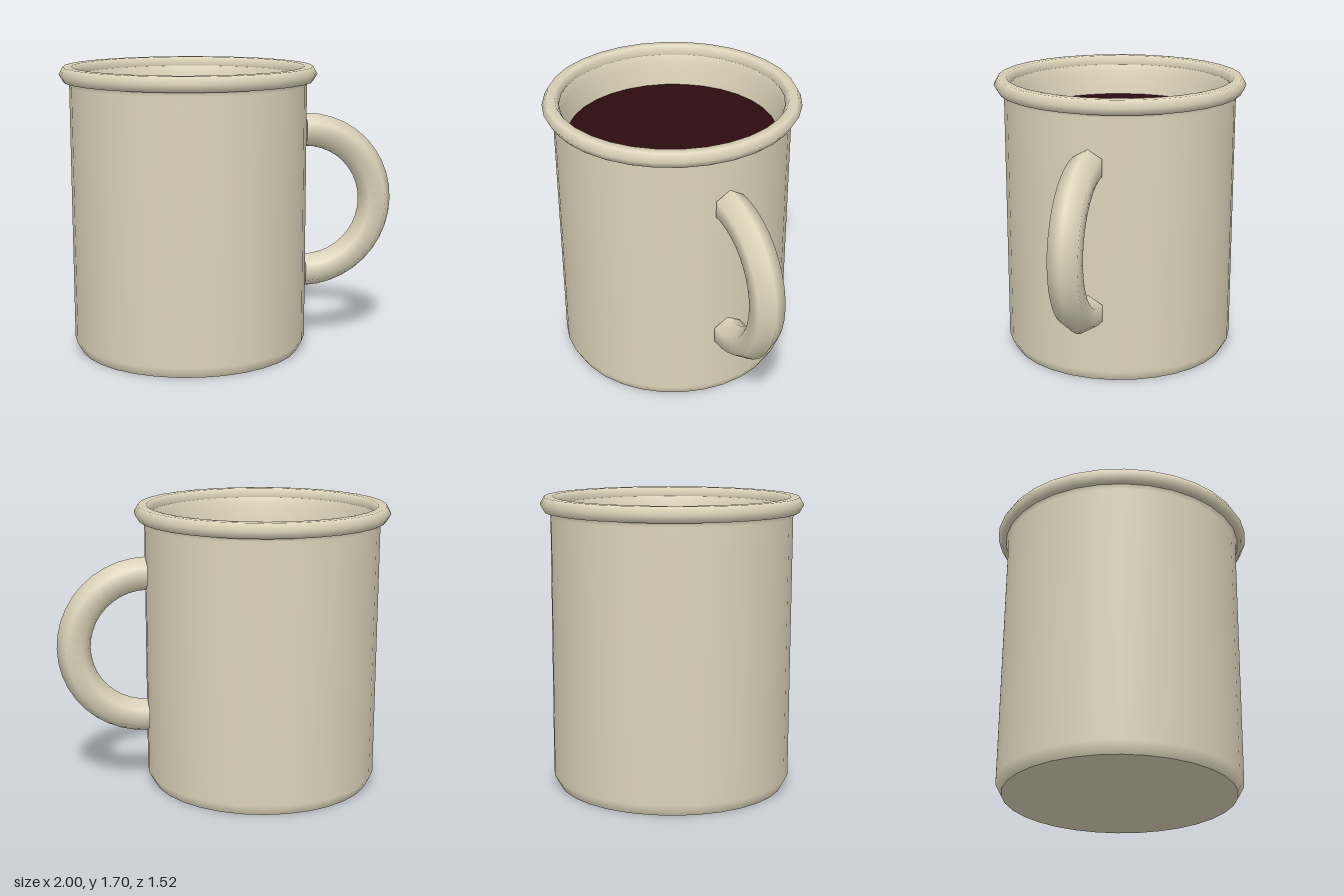
import * as THREE from 'three';

const SEGMENTS = 32;
const CUP_X = -0.24;

export function createModel() {
  const model = new THREE.Group();
  model.name = 'mug';

  const cream = new THREE.MeshStandardMaterial({ color: 0xddd4ba });
  cream.name = 'cream enamel';
  const coffee = new THREE.MeshStandardMaterial({ color: 0x2d0c0f });
  coffee.name = 'dark coffee';

  const add = (name, geometry, material, x = 0, y = 0) => {
    const mesh = new THREE.Mesh(geometry, material);
    mesh.name = name;
    mesh.position.set(x, y, 0);
    model.add(mesh);
    return mesh;
  };
  const lathe = (points) =>
    new THREE.LatheGeometry(points.map(([r, y]) => new THREE.Vector2(r, y)), SEGMENTS);
  const disc = (radius, tilt) => new THREE.CircleGeometry(radius, SEGMENTS).rotateX(tilt);

  // Outer wall: bevelled foot, straight side, slight flare under the rim
  add('outerWall', lathe([[0.665, 0], [0.7, 0.065], [0.7, 1.59], [0.718, 1.625]]), cream, CUP_X);
  add('base', disc(0.665, Math.PI / 2), cream, CUP_X);

  // Inner wall, running down from the rim to below the drink
  add('innerWall', lathe([[0.668, 1.65], [0.648, 1.6], [0.626, 1.46], [0.62, 1.4]]), cream, CUP_X);
  add('drink', disc(0.624, -Math.PI / 2), coffee, CUP_X, 1.46);

  // Rolled rim with a six-sided section
  add('rim', new THREE.TorusGeometry(0.71, 0.05, 6, SEGMENTS).rotateX(Math.PI / 2), cream, CUP_X, 1.658);

  // Half-ring handle with a six-sided section
  add('handle', new THREE.TorusGeometry(0.435, 0.1, 6, 20, Math.PI).rotateZ(-Math.PI / 2), cream, 0.463, 0.875);

  // Flat caps closing the handle ends against the wall
  for (const side of [-1, 1]) {
    const cap = new THREE.CircleGeometry(0.1, 6).rotateZ(Math.PI / 2).rotateY(-Math.PI / 2);
    add('handleEnd', cap, cream, 0.463, 0.875 + side * 0.435);
  }

  return model;
}
